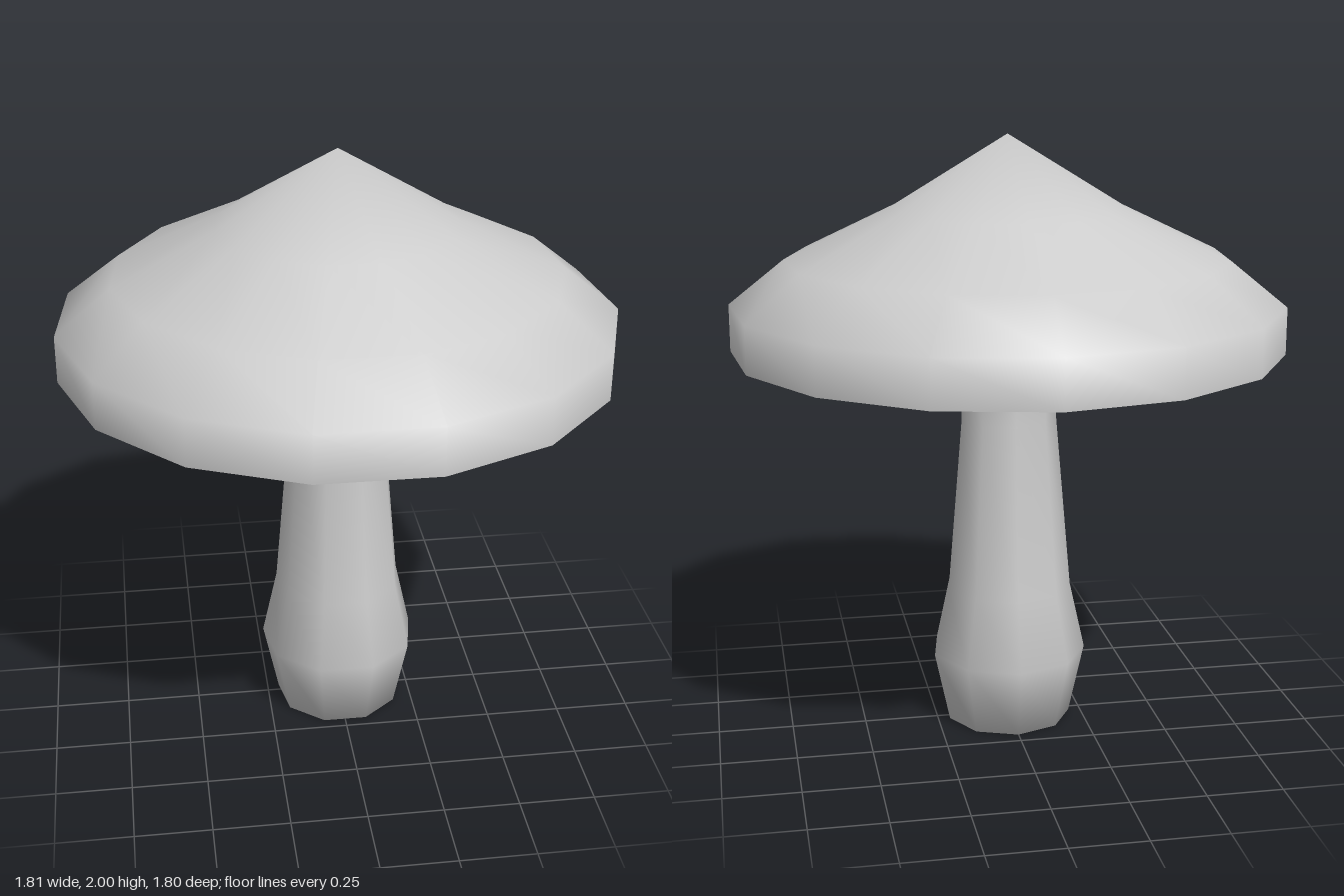
import * as THREE from 'three';
import { mergeVertices } from 'three/addons/utils/BufferGeometryUtils.js';

// The cap is an open shell, so its inside shows too
const material = new THREE.MeshStandardMaterial({ color: 0xcccccc, side: THREE.DoubleSide });

// Low-poly turning with fully smoothed normals; profile points are [radius, height].
// One corner points to the back.
function turned(name, profile, sides) {
  const points = profile.map(([r, y]) => new THREE.Vector2(r, y));
  const lathe = new THREE.LatheGeometry(points, sides, Math.PI);
  lathe.deleteAttribute('normal');
  lathe.deleteAttribute('uv');
  const geometry = mergeVertices(lathe, 1e-4);
  geometry.computeVertexNormals();
  const mesh = new THREE.Mesh(geometry, material);
  mesh.name = name;
  return mesh;
}

export function createModel() {
  const group = new THREE.Group();
  group.name = 'mushroom';

  // Stem: closed base, bulbous foot, narrow neck, flared end inside the cap
  const stem = turned('stem', [
    [0, 0], [0.213, 0], [0.265, 0.24], [0.214, 0.47], [0.163, 1.06], [0.16, 1.38], [0.21, 1.58],
  ], 9);

  // Cap: hollow shell with an upright rim and a sloping dome rising to a point
  const cap = turned('cap', [
    [0.912, 1.3], [0.912, 1.455], [0.73, 1.6], [0.395, 1.76], [0, 2],
  ], 15);

  group.add(stem, cap);
  // The odd-sided cap reaches further back than front
  stem.position.z = cap.position.z = 0.01;
  return group;
}
